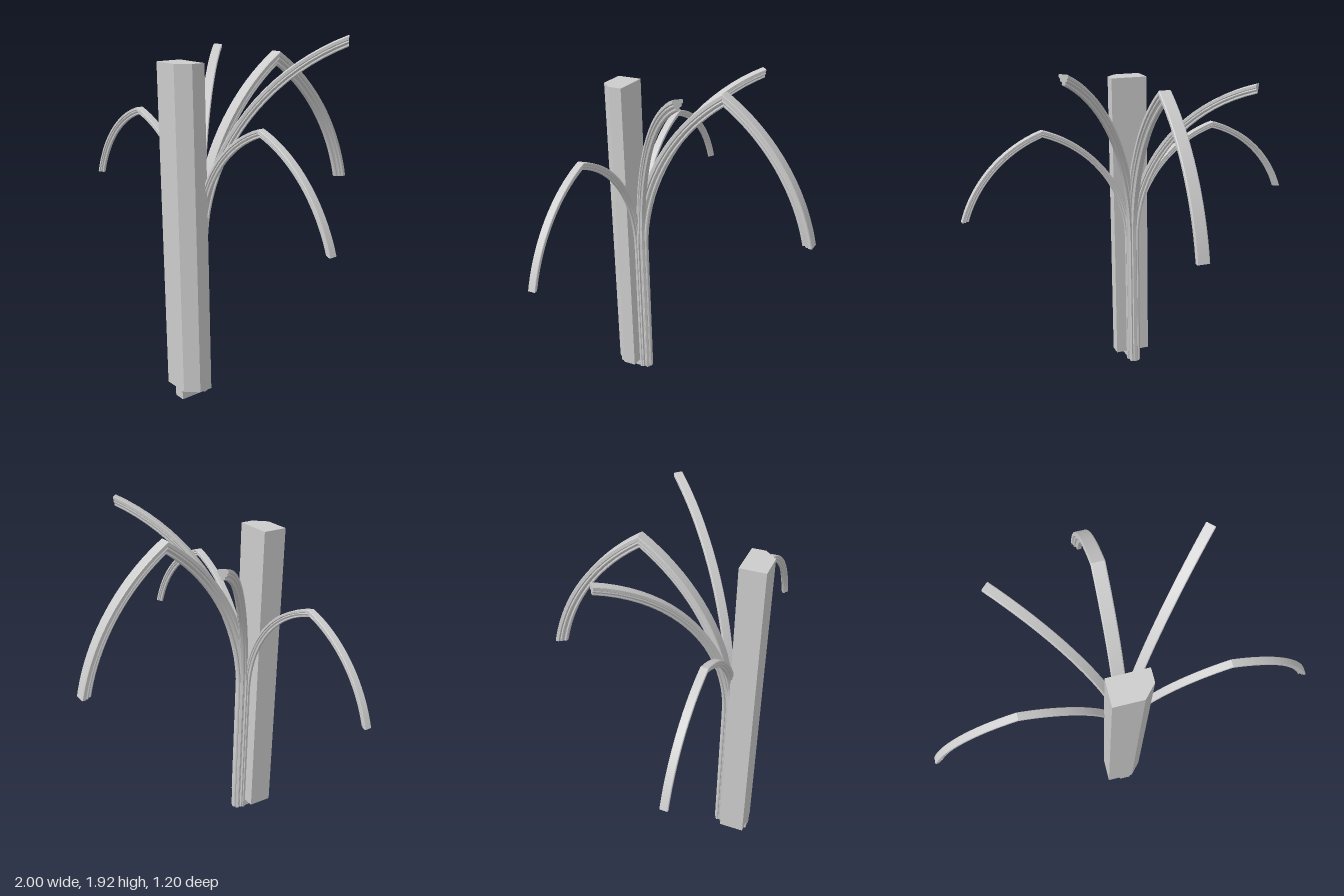
import * as THREE from 'three';
import { mergeVertices, toCreasedNormals } from 'three/addons/utils/BufferGeometryUtils.js';

const SPRING = 0.82; // height where the ribs leave the shaft
const CUT = 1.05;    // height where the full arches end
const START = 0.04;  // distance of the rib soffit from the hub

// Half moulding outline: x as a share of half width, y as a share of depth
const HALF = [[0.3, 0], [0.42, 0.1], [0.36, 0.24], [0.5, 0.34], [0.72, 0.36],
  [0.82, 0.46], [0.74, 0.58], [1, 0.66], [1, 0.94], [0.86, 1]];

function ribProfile(width, depth) {
  const right = HALF.map(([x, y]) => new THREE.Vector2(x * width / 2, y * depth));
  const left = right.map(p => new THREE.Vector2(-p.x, p.y)).reverse();
  return [...right, ...left];
}

// Moulded rib: straight shaft, circular arc to the apex, optional falling arc
function ribGeometry({ hubZ, angle, reach, apex, width, depth, full }) {
  const profile = ribProfile(width, depth);
  const dir = new THREE.Vector3(Math.sin(angle), 0, Math.cos(angle));
  const lat = new THREE.Vector3(0, 1, 0).cross(dir);
  const w = reach - START, h = apex - SPRING;
  const R = (w * w + h * h) / (2 * w);
  const centre = START + R;
  const place = (u, s, y) => dir.clone().multiplyScalar(s).addScaledVector(lat, u)
    .add(new THREE.Vector3(0, y, hubZ));
  const onArc = (p, theta, mirrored) => {
    const s = centre - (R + p.y) * Math.cos(theta);
    return place(p.x, mirrored ? 2 * reach - s : s, SPRING + (R + p.y) * Math.sin(theta));
  };
  const top = p => Math.acos((centre - reach) / (R + p.y));
  const end = p => Math.asin((CUT - SPRING) / (R + p.y));

  const rings = [profile.map(p => place(p.x, START - p.y, 0))];
  const N = 20;
  for (let i = 0; i <= N; i++) rings.push(profile.map(p => onArc(p, top(p) * i / N, false)));
  if (full) {
    for (let i = 1; i <= N; i++) {
      rings.push(profile.map(p => onArc(p, THREE.MathUtils.lerp(top(p), end(p), i / N), true)));
    }
  }

  const n = profile.length, index = [];
  for (let r = 0; r < rings.length - 1; r++) {
    for (let j = 0; j < n; j++) {
      const k = (j + 1) % n, a = r * n + j, b = r * n + k;
      index.push(a, b, b + n, a, b + n, a + n);
    }
  }
  const last = (rings.length - 1) * n;
  for (const [a, b, c] of THREE.ShapeUtils.triangulateShape(profile, [])) {
    index.push(a, c, b, last + a, last + b, last + c);
  }
  const g = new THREE.BufferGeometry().setFromPoints(rings.flat());
  g.setIndex(index);
  return toCreasedNormals(mergeVertices(g), 0.35);
}

export function createModel() {
  const group = new THREE.Group();
  const stone = new THREE.MeshStandardMaterial({ color: 0xcccccc });
  stone.name = 'stone';
  const add = (name, geometry) => {
    const mesh = new THREE.Mesh(geometry, stone);
    mesh.name = name;
    group.add(mesh);
    return mesh;
  };

  // Wall pier with one chamfered corner; plan drawn as (x, -z)
  const plan = new THREE.Shape([[-0.105, -0.6], [0.045, -0.6], [0.105, -0.535],
    [0.105, -0.463], [-0.105, -0.463]].map(([x, y]) => new THREE.Vector2(x, y)));
  const pier = new THREE.ExtrudeGeometry(plan, { depth: 1.74, bevelEnabled: false });
  pier.rotateX(-Math.PI / 2);
  add('wallPier', pier).position.y = 0.05;

  // Narrow block under the pier
  add('footBlock', new THREE.BoxGeometry(0.064, 0.05, 0.15)).position.set(0, 0.025, 0.525);

  // Ribs fanning out from the shaft
  const Q = Math.PI / 4;
  const wall = { hubZ: 0.457, reach: 0.52, width: 0.04, depth: 0.038, full: true };
  const diagonal = { hubZ: 0.44, reach: 0.745, width: 0.05, depth: 0.05, full: false };
  const ribs = {
    leftWallRib: { ...wall, angle: 2 * Q, apex: 1.49 },
    rightWallRib: { ...wall, angle: -2 * Q, apex: 1.46 },
    leftDiagonalRib: { ...diagonal, angle: 3 * Q, apex: 1.865 },
    rightDiagonalRib: { ...diagonal, angle: -3 * Q, apex: 1.757 },
    transverseRib: { hubZ: 0.44, reach: 0.52, apex: 1.735, width: 0.07, depth: 0.06, full: true, angle: 4 * Q },
  };
  for (const [name, spec] of Object.entries(ribs)) add(name, ribGeometry(spec));

  return group;
}
